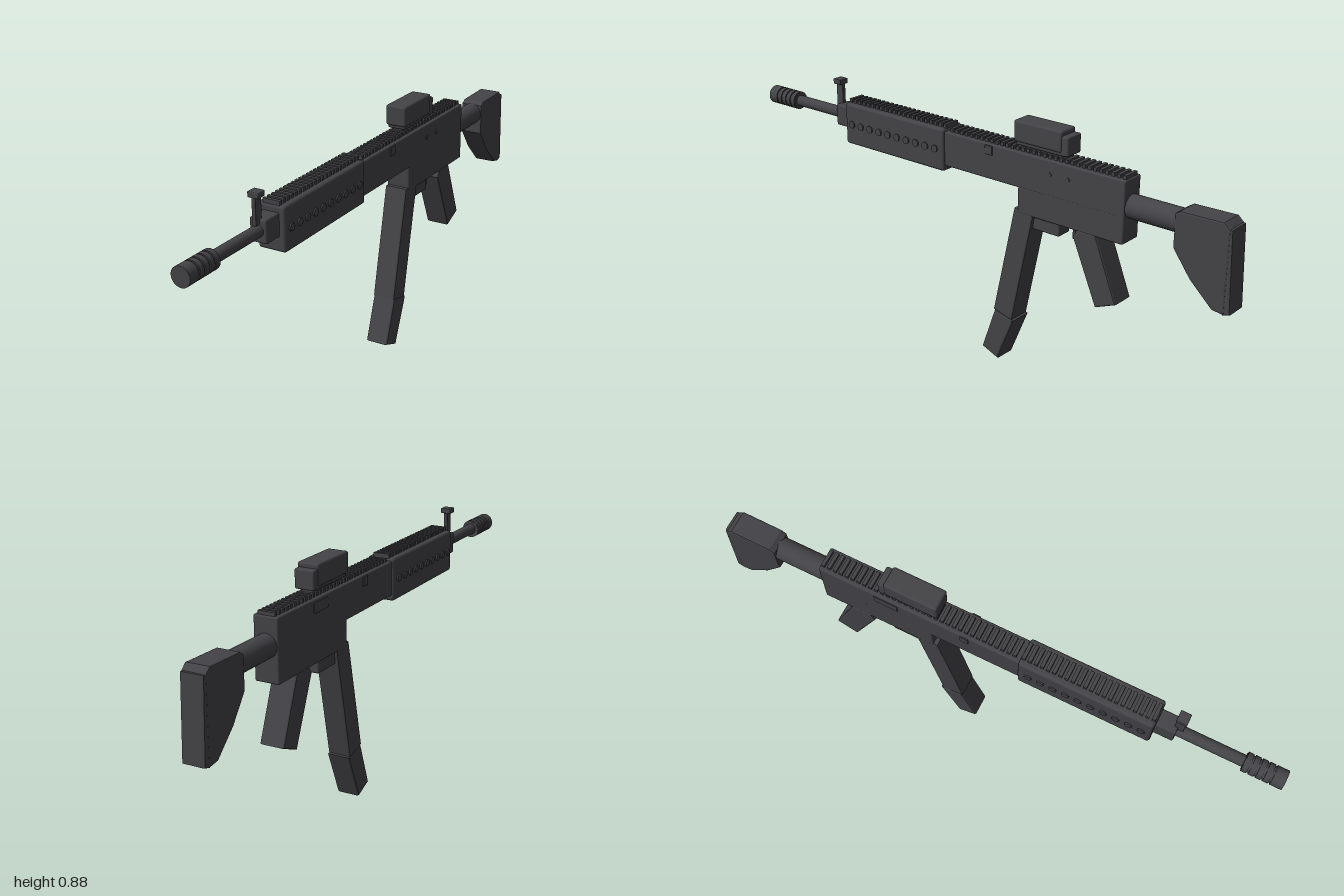
import * as THREE from 'three';
import { RoundedBoxGeometry } from 'three/addons/geometries/RoundedBoxGeometry.js';

export function createModel() {
  const model = new THREE.Group();
  model.name = 'rifle';
  const gunmetal = new THREE.MeshStandardMaterial({ color: 0x444448 });
  gunmetal.name = 'gunmetal';

  function add(name, geometry, parent = model) {
    const mesh = new THREE.Mesh(geometry, gunmetal);
    mesh.name = name;
    parent.add(mesh);
    return mesh;
  }

  // Rounded box from its y and z limits and its half width, centred on x
  function block(name, halfWidth, y0, y1, z0, z1, radius = 0.006, x = 0, parent = model) {
    const mesh = add(name, new RoundedBoxGeometry(halfWidth * 2, y1 - y0, z1 - z0, 2, radius), parent);
    mesh.position.set(x, (y0 + y1) / 2, (z0 + z1) / 2);
    return mesh;
  }

  // Side profile given as [z, y] points, extruded across x with bevelled edges
  function profile(name, halfWidth, points, bevel = 0.006) {
    const shape = new THREE.Shape(points.map(([z, y]) => new THREE.Vector2(z, y)));
    const depth = 2 * (halfWidth - bevel);
    const geometry = new THREE.ExtrudeGeometry(shape, {
      depth, bevelThickness: bevel, bevelSize: bevel, bevelOffset: -bevel, bevelSegments: 2,
    });
    geometry.translate(0, 0, -depth / 2);
    geometry.rotateY(-Math.PI / 2);
    return add(name, geometry);
  }

  // Cylinder along z
  function rod(name, radius, y, z0, z1) {
    const geometry = new THREE.CylinderGeometry(radius, radius, z1 - z0, 28);
    geometry.rotateX(Math.PI / 2);
    const mesh = add(name, geometry);
    mesh.position.set(0, y, (z0 + z1) / 2);
    return mesh;
  }

  // Barrel and ribbed muzzle
  rod('barrel', 0.02, 0.729, 0.55, 0.9);
  rod('muzzleCore', 0.029, 0.729, 0.862, 0.996);
  for (let i = 0; i < 4; i++) rod('muzzleRib', 0.033, 0.729, 0.864 + i * 0.024, 0.882 + i * 0.024);
  rod('muzzleTip', 0.033, 0.729, 0.96, 1);

  // Front sight
  block('frontSightBase', 0.03, 0.69, 0.768, 0.56, 0.637);
  block('frontSightPost', 0.007, 0.75, 0.85, 0.624, 0.655, 0.002);
  block('frontSightHead', 0.019, 0.838, 0.857, 0.622, 0.658, 0.003);

  // Handguard, receivers and stock tube
  block('handguard', 0.05, 0.64, 0.79, 0.102, 0.57, 0.01);
  block('upperReceiver', 0.043, 0.66, 0.782, -0.622, 0.105, 0.006);
  block('lowerReceiver', 0.043, 0.572, 0.668, -0.622, -0.212, 0.006);
  rod('stockTube', 0.039, 0.69, -0.82, -0.61);

  // Top rail teeth
  const rail = new THREE.Group();
  rail.name = 'topRail';
  model.add(rail);
  const tooth = (halfWidth, y0, y1, z) => {
    const mesh = add('railTooth', new THREE.BoxGeometry(halfWidth * 2, y1 - y0, 0.012), rail);
    mesh.position.set(0, (y0 + y1) / 2, z);
  };
  for (let i = 0; i < 22; i++) tooth(0.03, 0.785, 0.803, 0.112 + i * 0.0213);
  for (let i = 0; i < 33; i++) tooth(0.03, 0.777, 0.794, -0.61 + i * 0.0216);

  // Round studs and small plates, mirrored on both sides
  for (const side of [-1, 1]) {
    for (let i = 0; i < 10; i++) {
      const stud = new THREE.CylinderGeometry(0.013, 0.013, 0.01, 14);
      stud.rotateZ(Math.PI / 2);
      add('handguardStud', stud).position.set(side * 0.05, 0.716, 0.14 + i * 0.044);
    }
    block('sideLatch', 0.004, 0.745, 0.777, -0.106, -0.076, 0.002, side * 0.043);
  }
  block('ejectionPort', 0.003, 0.737, 0.772, -0.418, -0.333, 0.002, -0.043);
  for (const z of [-0.34, -0.41]) {
    const pin = new THREE.CylinderGeometry(0.007, 0.007, 0.006, 12);
    pin.rotateZ(Math.PI / 2);
    add('receiverPin', pin).position.set(0.043, 0.735, z);
  }

  // Magazine in two angled sections
  profile('magazine', 0.042, [[-0.197, 0.585], [-0.277, 0.585], [-0.192, 0.17], [-0.113, 0.19]]);
  profile('magazineFoot', 0.043, [[-0.118, 0.19], [-0.201, 0.172], [-0.132, 0.003], [-0.063, 0.03]], 0.008);

  // Trigger, its housing and the grip
  block('triggerHousing', 0.03, 0.525, 0.58, -0.372, -0.265);
  block('trigger', 0.008, 0.524, 0.58, -0.42, -0.41, 0.002);
  profile('grip', 0.044, [[-0.434, 0.552], [-0.45, 0.578], [-0.52, 0.578], [-0.606, 0.362], [-0.53, 0.33]]);

  // Shoulder stock and butt pad
  profile('stock', 0.042, [
    [-0.797, 0.725], [-0.815, 0.737], [-0.96, 0.74], [-0.982, 0.72],
    [-0.982, 0.45], [-0.94, 0.455], [-0.86, 0.53], [-0.797, 0.615],
  ]);
  profile('buttPad', 0.04, [[-0.965, 0.722], [-0.988, 0.722], [-1, 0.455], [-0.975, 0.447]], 0.005);

  // Optic on its mount
  block('opticMount', 0.02, 0.775, 0.812, -0.385, -0.205, 0.003);
  block('opticFoot', 0.034, 0.801, 0.83, -0.39, -0.195, 0.006);
  block('opticBody', 0.038, 0.812, 0.884, -0.378, -0.188, 0.008);
  block('opticRear', 0.035, 0.803, 0.868, -0.402, -0.37, 0.006);

  return model;
}
